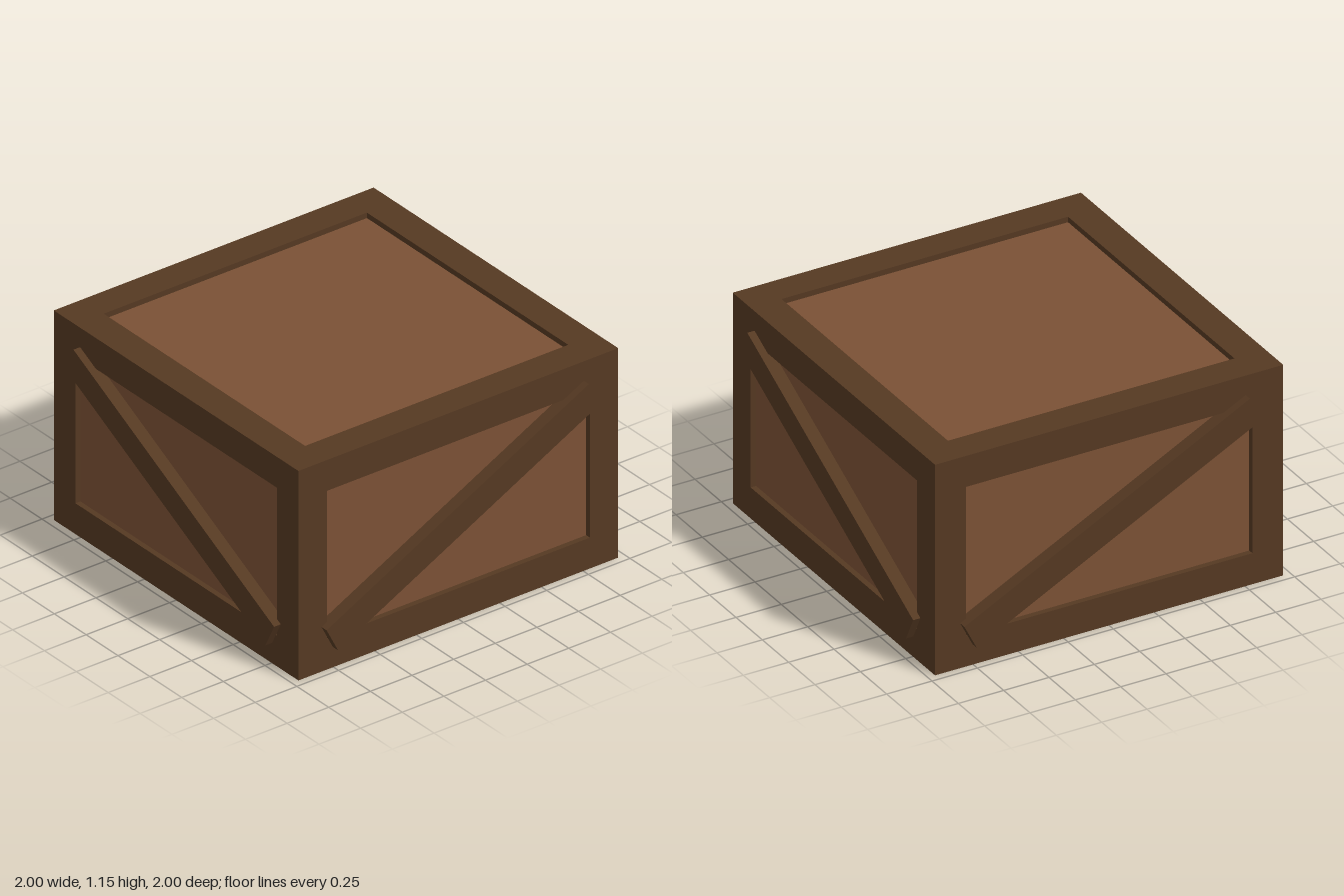
import * as THREE from 'three';

const W = 0.96;      // half width of the frame
const H = 1.155;     // height of the frame
const T = 0.17;      // beam thickness
const RECESS = 0.03; // how far the panels sit behind the frame

export function createModel() {
  const frameWood = new THREE.MeshStandardMaterial({ color: 0x553922 });
  frameWood.name = 'dark frame wood';
  const panelWood = new THREE.MeshStandardMaterial({ color: 0x7b5135 });
  panelWood.name = 'light panel wood';

  const crate = new THREE.Group();
  crate.name = 'crate';

  const addBox = (parent, name, material, size, position) => {
    const mesh = new THREE.Mesh(new THREE.BoxGeometry(...size), material);
    mesh.name = name;
    mesh.position.set(...position);
    parent.add(mesh);
    return mesh;
  };

  // Recessed panels: one solid core seen through every opening
  const core = 2 * (W - RECESS);
  addBox(crate, 'panels', panelWood, [core, H - 2 * RECESS, core], [0, H / 2, 0]);

  // Frame: corner posts, with rails fitted between them
  const frame = new THREE.Group();
  frame.name = 'frame';
  crate.add(frame);
  const c = W - T / 2;
  const span = 2 * (W - T);
  for (const s of [-1, 1]) {
    for (const t of [-1, 1]) {
      addBox(frame, 'cornerPost', frameWood, [T, H, T], [s * c, H / 2, t * c]);
      const y = t < 0 ? T / 2 : H - T / 2;
      addBox(frame, 'crossRail', frameWood, [span, T, T], [0, y, s * c]);
      addBox(frame, 'sideRail', frameWood, [T, T, span], [s * c, y, 0]);
    }
  }

  // Diagonal braces: opposite sides match, neighbouring sides mirror
  const inner = W - RECESS - 0.02;
  const depth = 1 - inner;
  for (let i = 0; i < 4; i++) {
    const side = new THREE.Group();
    side.name = ['frontBrace', 'leftBrace', 'backBrace', 'rightBrace'][i];
    side.rotation.y = i * Math.PI / 2;
    const brace = addBox(side, 'braceBoard', frameWood, [1.767, 0.15, depth], [0, 0.58, inner + depth / 2]);
    brace.rotation.z = THREE.MathUtils.degToRad(i % 2 ? 27 : -27);
    crate.add(side);
  }

  return crate;
}
